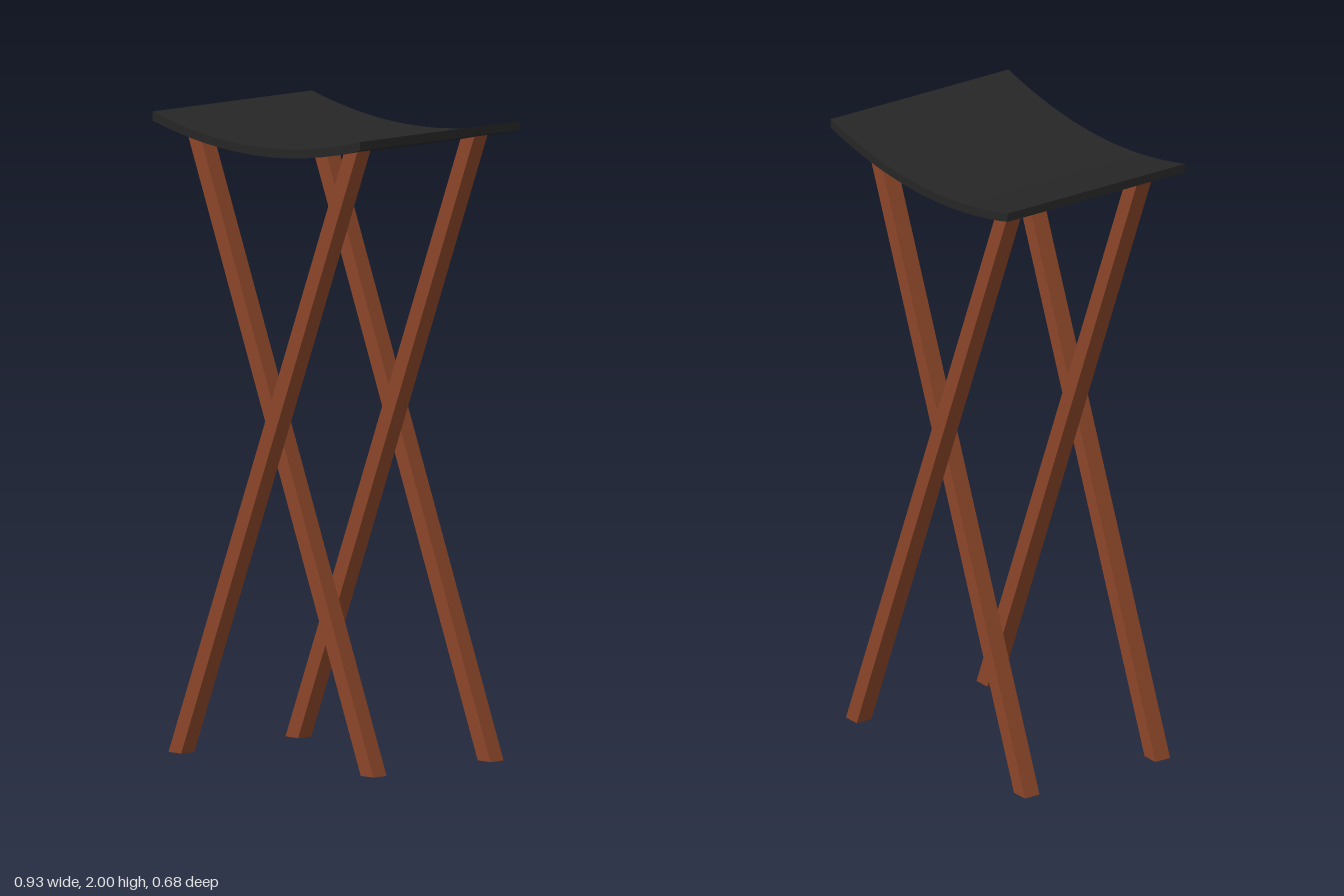
import * as THREE from 'three';

const WOOD = new THREE.MeshStandardMaterial({ color: 0x8b4528 });
const FABRIC = new THREE.MeshStandardMaterial({ color: 0x262626 });

// Sagging sling seat: a parabolic strip with vertical ends, extruded front to back
function makeSeat() {
  const halfWidth = 0.467, depth = 0.68, thickness = 0.028, steps = 16;
  const top = (x) => 1.938 + 0.062 * (x / halfWidth) ** 2;
  const upper = [], lower = [];
  for (let i = 0; i <= steps; i++) {
    const x = halfWidth * (2 * i / steps - 1);
    upper.unshift(new THREE.Vector2(x, top(x)));
    lower.push(new THREE.Vector2(x, top(x) - thickness));
  }
  const geometry = new THREE.ExtrudeGeometry(new THREE.Shape([...lower, ...upper]), {
    depth, bevelEnabled: false,
  });
  geometry.translate(0, 0, -depth / 2);
  const seat = new THREE.Mesh(geometry, FABRIC);
  seat.name = 'seat';
  return seat;
}

// Slanted square leg with level-cut ends; lean = +1 rises towards +x
function makeLeg(name, lean, z) {
  const height = 1.965, reach = 0.397, half = 0.0285, depth = 0.056;
  const shape = new THREE.Shape([
    new THREE.Vector2(-lean * reach - half, 0),
    new THREE.Vector2(-lean * reach + half, 0),
    new THREE.Vector2(lean * reach + half, height),
    new THREE.Vector2(lean * reach - half, height),
  ]);
  const geometry = new THREE.ExtrudeGeometry(shape, { depth, bevelEnabled: false });
  geometry.translate(0, 0, z - depth / 2);
  const leg = new THREE.Mesh(geometry, WOOD);
  leg.name = name;
  return leg;
}

export function createModel() {
  const model = new THREE.Group();
  model.name = 'foldingStool';
  model.add(makeSeat());

  // Two crossed pairs, the legs of each pair lying side by side
  model.add(
    makeLeg('frontOuterLeg', 1, 0.283),
    makeLeg('frontInnerLeg', -1, 0.216),
    makeLeg('backInnerLeg', 1, -0.216),
    makeLeg('backOuterLeg', -1, -0.283),
  );
  return model;
}
